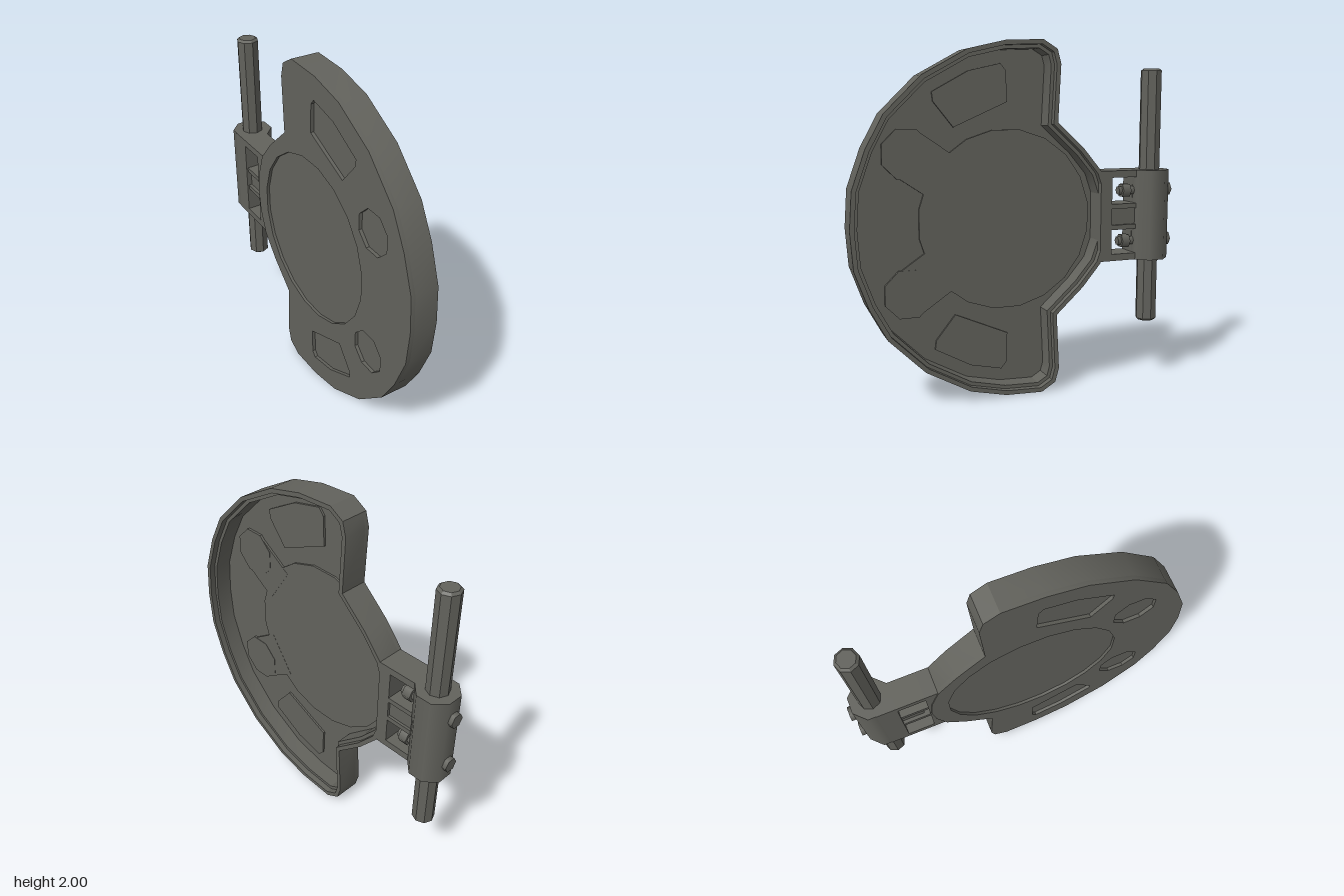
import * as THREE from 'three';
import { toCreasedNormals } from 'three/addons/utils/BufferGeometryUtils.js';

const TILT = THREE.MathUtils.degToRad(20);
const BACK = -0.065, FRONT = 0.095, SKIN = 0.07;
const DISC_X = 0.035, DISC_R = 0.5;

// Upper half of the plate outline, counterclockwise, y measured from the middle
const HALF = [
  [0.94, 0], [0.925, 0.21], [0.85, 0.42], [0.753, 0.6], [0.55, 0.8], [0.296, 0.94],
  [0.083, 0.99], [-0.136, 1], [-0.22, 0.95], [-0.242, 0.87], [-0.226, 0.55],
  [-0.39, 0.4], [-0.5, 0.27], [-0.55, 0.13], [-0.565, 0],
];
const POCKET = [[0.045, 0.67], [0.34, 0.54], [0.445, 0.67], [0.45, 0.71], [0.25, 0.82], [0.075, 0.86], [0.05, 0.83]];

const vec = (pts) => pts.map(([x, y]) => new THREE.Vector2(x, y));
const flip = (pts) => pts.map((p) => new THREE.Vector2(p.x, -p.y)).reverse();

function ngon(cx, cy, r, sides) {
  return Array.from({ length: sides }, (_, i) => {
    const a = ((i + 0.5) / sides) * Math.PI * 2;
    return new THREE.Vector2(cx + r * Math.cos(a), cy + r * Math.sin(a));
  });
}

// Moves a counterclockwise loop inwards by d
function inset(pts, d) {
  const n = pts.length;
  return pts.map((p, i) => {
    const e1 = p.clone().sub(pts[(i + n - 1) % n]).normalize();
    const e2 = pts[(i + 1) % n].clone().sub(p).normalize();
    const m = new THREE.Vector2(-e1.y - e2.y, e1.x + e2.x).normalize();
    const k = d / Math.max(0.5, -m.x * e1.y + m.y * e1.x);
    return p.clone().addScaledVector(m, k);
  });
}

export function createModel() {
  const metal = new THREE.MeshStandardMaterial({ color: 0x62625c });
  metal.name = 'dark grey metal';
  const root = new THREE.Group();
  root.name = 'hingedHatch';
  const hatch = new THREE.Group();
  hatch.name = 'hatch';
  hatch.position.y = 1;
  hatch.rotation.y = -TILT;
  root.add(hatch);

  const add = (name, geometry, x = 0, y = 0, z = 0) => {
    const mesh = new THREE.Mesh(geometry, metal);
    mesh.name = name;
    mesh.position.set(x, y, z);
    hatch.add(mesh);
    return mesh;
  };
  // Slab between depths z0 and z1
  const slab = (name, pts, z0, z1, holes = []) => {
    const shape = new THREE.Shape(pts);
    holes.forEach((h) => shape.holes.push(new THREE.Path(h)));
    const geo = new THREE.ExtrudeGeometry(shape, { depth: z1 - z0, bevelEnabled: false });
    return add(name, toCreasedNormals(geo, 0.5), 0, 0, z0);
  };
  const box = (name, x0, x1, y0, y1, z0, z1) =>
    add(name, new THREE.BoxGeometry(x1 - x0, y1 - y0, z1 - z0), (x0 + x1) / 2, (y0 + y1) / 2, (z0 + z1) / 2);

  // Hollow shell: rim, inner step and pierced front skin
  const upper = vec(HALF);
  const outline = [...upper, ...flip(upper.slice(1, -1))];
  slab('rim', outline, BACK, FRONT - 0.025, [inset(outline, 0.025)]);
  slab('rimStep', inset(outline, 0.024), BACK + 0.035, SKIN, [inset(outline, 0.045)]);

  const disc = ngon(DISC_X, 0, DISC_R, 20);
  const pocket = vec(POCKET);
  const pockets = [pocket, flip(pocket)];
  const rounds = [1, -1].map((s) => ngon(0.607, s * 0.385, 0.125, 8));
  slab('frontSkin', outline, SKIN, FRONT, [disc, ...pockets, ...rounds]);

  // Recessed floors behind the openings
  slab('discPanel', ngon(DISC_X, 0, DISC_R + 0.015, 20), 0.058, 0.078);
  pockets.forEach((p) => slab('pocketFloor', inset(p, -0.012), 0.058, 0.076));
  [1, -1].forEach((s) => {
    slab('roundFloor', ngon(0.607, s * 0.385, 0.145, 8), 0.055, 0.076);
    // Lobe joining the round recess to the disc on the back
    const a = Math.atan2(s * 0.385, 0.572);
    const lobe = add('backLobe', new THREE.BoxGeometry(0.24, 0.27, 0.014), 0.5, s * 0.315, 0.064);
    lobe.rotation.z = a;
  });

  // Hinge barrel, octagonal and upright
  const PX = -0.837, PZ = -0.02;
  const barrel = add('hingeBarrel', new THREE.CylinderGeometry(0.117, 0.117, 0.53, 8), PX, 0.005, PZ);
  barrel.rotation.y = Math.PI / 8;
  box('barrelFront', PX, -0.727, -0.26, 0.27, -0.02, 0.09);

  // Hinge arm: root, outer cheeks, middle ribs
  box('armRoot', -0.572, -0.5, -0.26, 0.27, BACK, 0.09);
  [1, -1].forEach((s) => {
    box('armCheek', -0.76, -0.55, 0.005 + s * 0.245 - 0.02, 0.005 + s * 0.245 + 0.02, BACK, 0.09);
    box('armRib', -0.76, -0.55, s * 0.062 - 0.014, s * 0.062 + 0.014, BACK, 0.08);
  });
  box('armBlock', -0.76, -0.6, -0.055, 0.055, BACK + 0.015, 0.06);
  box('armWeb', -0.62, -0.55, -0.055, 0.055, BACK + 0.015, 0.03);

  // Clamp bolts through the barrel
  [0.15, -0.15].forEach((y) => {
    const shaft = add('bolt', new THREE.CylinderGeometry(0.026, 0.026, 0.32, 6), -0.79, y, PZ);
    shaft.rotation.z = Math.PI / 2;
    const head = add('boltHead', new THREE.CylinderGeometry(0.042, 0.042, 0.03, 6), -0.955, y, PZ);
    head.rotation.z = Math.PI / 2;
    const nut = add('boltNut', new THREE.CylinderGeometry(0.042, 0.042, 0.05, 6), -0.675, y, PZ);
    nut.rotation.z = Math.PI / 2;
  });

  // Long pivot rod with chamfered ends
  const H = 0.75;
  const profile = vec([[0, -H], [0.048, -H], [0.062, -H + 0.012], [0.062, H - 0.012], [0.048, H], [0, H]]);
  const rod = toCreasedNormals(new THREE.LatheGeometry(profile, 8), 0.5);
  add('pivotRod', rod, PX, 0.105, PZ);

  return root;
}
